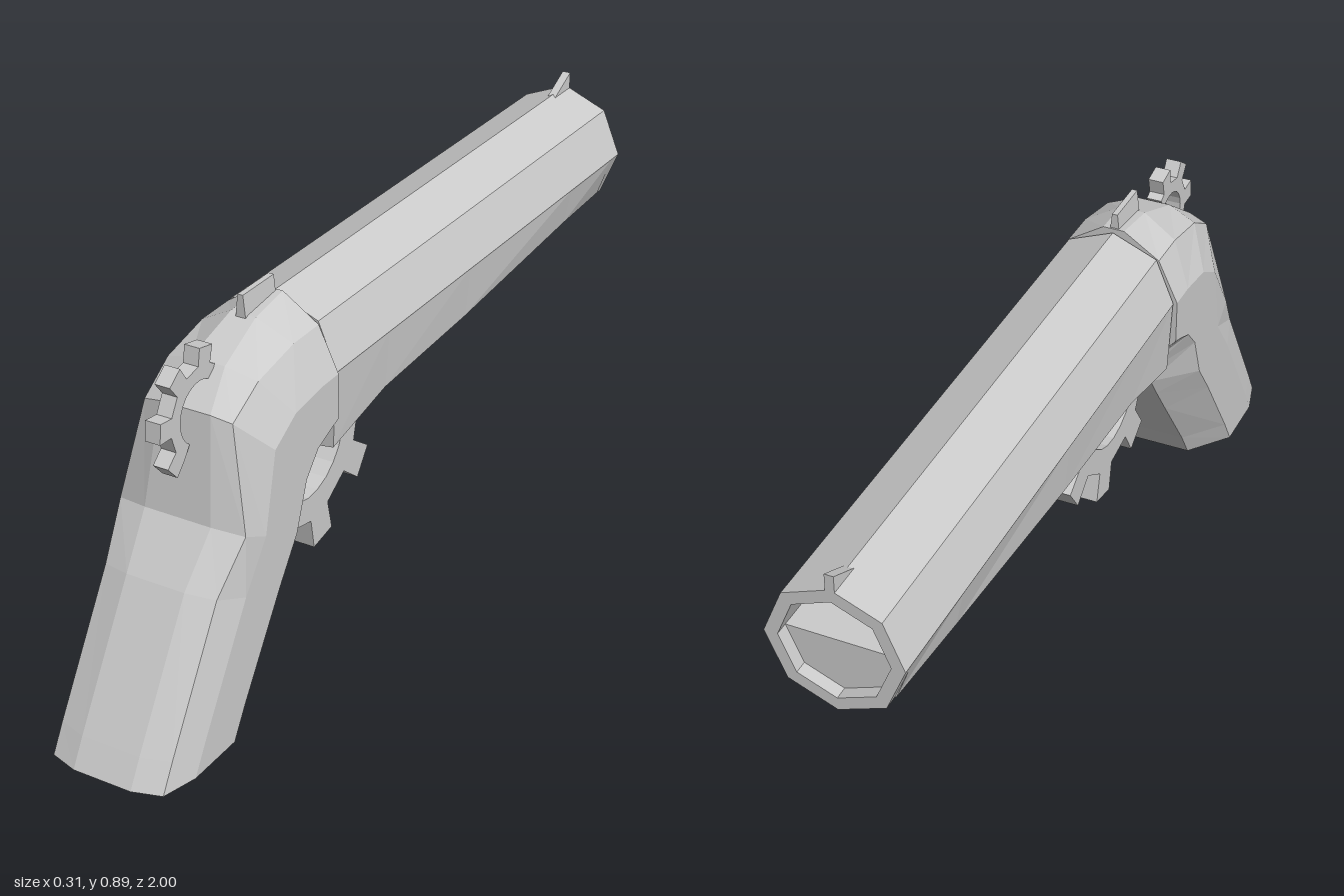
import * as THREE from 'three';

const material = new THREE.MeshStandardMaterial({ color: 0xcccccc, flatShading: true, side: THREE.DoubleSide });

function part(name, geometry) {
  const g = geometry.index ? geometry.toNonIndexed() : geometry;
  g.computeVertexNormals();
  const mesh = new THREE.Mesh(g, material);
  mesh.name = name;
  return mesh;
}

// Skin over half cross-sections (lists of [x, y, z]) that are mirrored in x, with capped ends
function loft(halves) {
  const rings = halves.map(h => [...h, ...h.slice().reverse().map(([x, y, z]) => [-x, y, z])]);
  const n = rings[0].length, last = rings.length - 1;
  const pos = rings.flat(2), index = [];
  for (let i = 0; i < last; i++) {
    for (let j = 0; j < n; j++) {
      const k = (j + 1) % n, a = i * n + j, b = i * n + k;
      index.push(a, b, a + n, b, b + n, a + n);
    }
  }
  for (const i of [0, last]) {
    const c = pos.length / 3;
    for (let d = 0; d < 3; d++) pos.push(rings[i].reduce((s, p) => s + p[d], 0) / n);
    for (let j = 0; j < n; j++) {
      const a = i * n + j, b = i * n + (j + 1) % n;
      if (i === 0) index.push(c, b, a); else index.push(c, a, b);
    }
  }
  const g = new THREE.BufferGeometry();
  g.setAttribute('position', new THREE.Float32BufferAttribute(pos, 3));
  g.setIndex(index);
  return g;
}

// Side outline given as [z, y], extruded symmetrically across x
function slab(points, width) {
  const shape = new THREE.Shape(points.map(p => new THREE.Vector2(...p)));
  return new THREE.ExtrudeGeometry(shape, { depth: width, bevelEnabled: false })
    .translate(0, 0, -width / 2).rotateY(-Math.PI / 2);
}

// Arc of a toothed wheel; angles in degrees in the z-y plane
function gearArc({ z, y, inner, root, tip, from, to, teeth, toothHalf, width }) {
  const pts = [];
  const add = (r, deg) => {
    const a = THREE.MathUtils.degToRad(deg);
    pts.push([z + r * Math.cos(a), y + r * Math.sin(a)]);
  };
  add(root, from);
  for (const t of teeth) {
    add(root, t - toothHalf);
    add(tip, t - toothHalf * 0.78);
    add(tip, t + toothHalf * 0.78);
    add(root, t + toothHalf);
  }
  add(root, to);
  const steps = 12;
  for (let i = 0; i <= steps; i++) add(inner, to + (from - to) * i / steps);
  return slab(pts, width);
}

export function createModel() {
  const model = new THREE.Group();

  // Eight-sided hollow barrel, ridge on top
  const profile = [[0, -0.335], [0.15, -0.335], [0.15, 1], [0.12, 1], [0.12, 0.2], [0, 0.2]];
  const barrel = new THREE.LatheGeometry(profile.map(p => new THREE.Vector2(...p)), 8);
  barrel.rotateX(-Math.PI / 2).translate(0, 0.7, 0);
  model.add(part('barrel', barrel));

  // Fore stock under the barrel: z, side edge x/y, bottom x/y
  const stock = [
    [0.335, 0.14, 0.52, 0.08, 0.512],
    [0.12, 0.14, 0.565, 0.06, 0.512],
    [-0.24, 0.138, 0.58, 0.05, 0.502],
    [-0.75, 0.13, 0.61, 0.05, 0.53],
    [-0.97, 0.112, 0.6, 0.04, 0.55],
  ].map(([z, ex, ey, bx, by]) => [[0.149, 0.7, z], [ex, ey, z], [bx, by, z]]);
  model.add(part('foreStock', loft(stock)));

  // Frame and grip, from the butt up to the breech.
  // Each section: back z/y, front z/y, then [x, fraction back to front] for each corner
  const gripCorners = [[0.07, 0], [0.135, 0.06], [0.157, 0.3], [0.157, 0.72], [0.08, 1]];
  const frame = [
    [0.95, 0.005, 0.81, 0, [[0.04, 0], [0.07, 0.1], [0.082, 0.3], [0.082, 0.7], [0.04, 1]]],
    [1.0, 0.038, 0.66, 0.038, gripCorners],
    [0.965, 0.1, 0.615, 0.11, gripCorners],
    [0.79, 0.39, 0.49, 0.285, gripCorners],
    [0.705, 0.5, 0.43, 0.37, [[0.08, 0], [0.152, 0.06], [0.157, 0.3], [0.157, 0.72], [0.08, 1]]],
    [0.665, 0.73, 0.39, 0.43, [[0.06, 0], [0.105, 0.04], [0.157, 0.3], [0.157, 0.72], [0.08, 1]]],
    [0.58, 0.795, 0.36, 0.475, [[0.04, 0], [0.108, 0.07], [0.157, 0.34], [0.157, 0.72], [0.08, 1]]],
    [0.45, 0.845, 0.345, 0.5, [[0.03, 0], [0.11, 0.13], [0.157, 0.42], [0.157, 0.75], [0.08, 1]]],
    [0.34, 0.857, 0.34, 0.51, [[0.025, 0], [0.11, 0.16], [0.157, 0.45], [0.157, 0.75], [0.08, 1]]],
  ].map(([bz, by, fz, fy, corners]) =>
    corners.map(([x, t]) => [x, by + (fy - by) * t, bz + (fz - bz) * t]));
  model.add(part('frameAndGrip', loft(frame)));

  // Toothed hammer behind the frame
  model.add(part('hammerGear', gearArc({
    z: 0.64, y: 0.715, inner: 0.068, root: 0.1, tip: 0.138, from: -55, to: 125,
    teeth: [-43, 5, 54, 102], toothHalf: 12, width: 0.036,
  })));

  // Toothed trigger guard
  model.add(part('triggerGuardGear', gearArc({
    z: 0.265, y: 0.475, inner: 0.142, root: 0.205, tip: 0.278, from: -195, to: -10,
    teeth: [-188, -144, -101, -57], toothHalf: 10, width: 0.075,
  })));

  // Trigger
  model.add(part('trigger', slab([[0.39, 0.53], [0.31, 0.378], [0.275, 0.395], [0.34, 0.53]], 0.04)));

  // Rear sight, narrowing to the top
  const sight = new THREE.BoxGeometry(0.026, 0.06, 0.115);
  const p = sight.attributes.position;
  for (let i = 0; i < p.count; i++) if (p.getY(i) > 0) p.setX(i, p.getX(i) * 0.5);
  model.add(part('rearSight', sight.translate(0, 0.862, 0.4025)));

  // Front sight
  model.add(part('frontSight', slab([[-0.92, 0.845], [-1, 0.885], [-1, 0.84]], 0.02)));

  return model;
}
